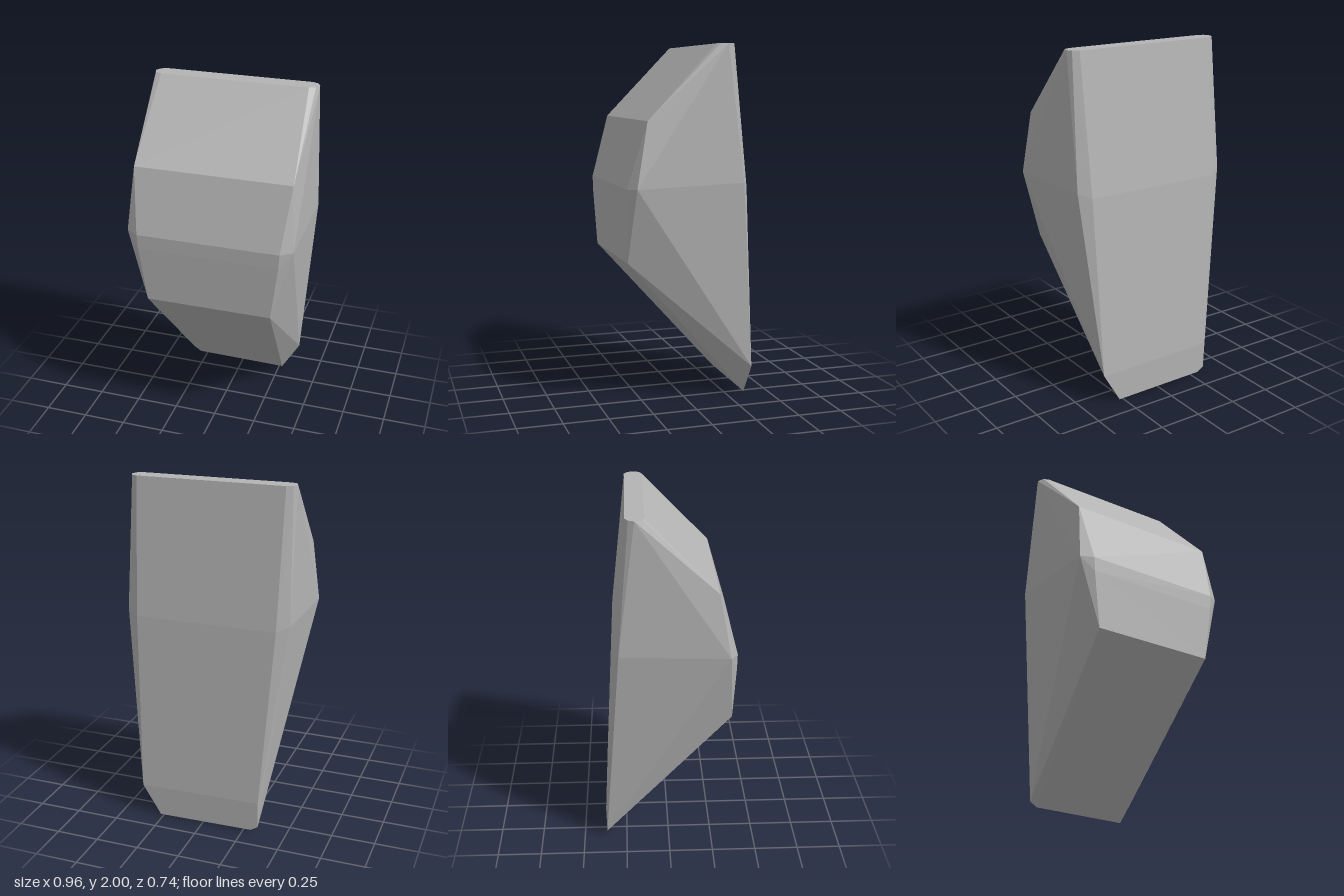
import * as THREE from 'three';
import { ConvexGeometry } from 'three/addons/geometries/ConvexGeometry.js';

export function createModel() {
  const model = new THREE.Group();
  const stone = new THREE.MeshStandardMaterial({ color: 0xb4b4b4 });
  stone.name = 'stone grey';

  // corners that exist on both sides, as [x, y, z]
  const mirrored = [
    // narrow top cap
    [0.425, 2, -0.127], [0.46, 2, -0.14], [0.475, 2, -0.18], [0.46, 2, -0.212], [0.425, 2, -0.23],
    // front: shoulder, belly and lower lip
    [0.45, 1.59, 0.265], [0.41, 1.225, 0.37], [0.478, 1.23, 0.33], [0.405, 1.14, 0.369], [0.363, 0.815, 0.355],
    // back: bevelled waist
    [0.478, 1.25, -0.275], [0.41, 1.22, -0.315],
  ];
  // uneven foot along the back edge
  const foot = [
    [0.378, 0.18, -0.37], [0.27, 0, -0.365],
    [-0.338, 0.19, -0.37], [-0.338, 0.035, -0.366], [-0.295, 0.008, -0.365],
  ];

  const corners = foot.map((p) => new THREE.Vector3(...p));
  for (const [x, y, z] of mirrored) {
    corners.push(new THREE.Vector3(x, y, z), new THREE.Vector3(-x, y, z));
  }

  // faceted block wrapped around the corners
  const block = new THREE.Mesh(new ConvexGeometry(corners), stone);
  block.name = 'stoneBlock';
  model.add(block);
  return model;
}
